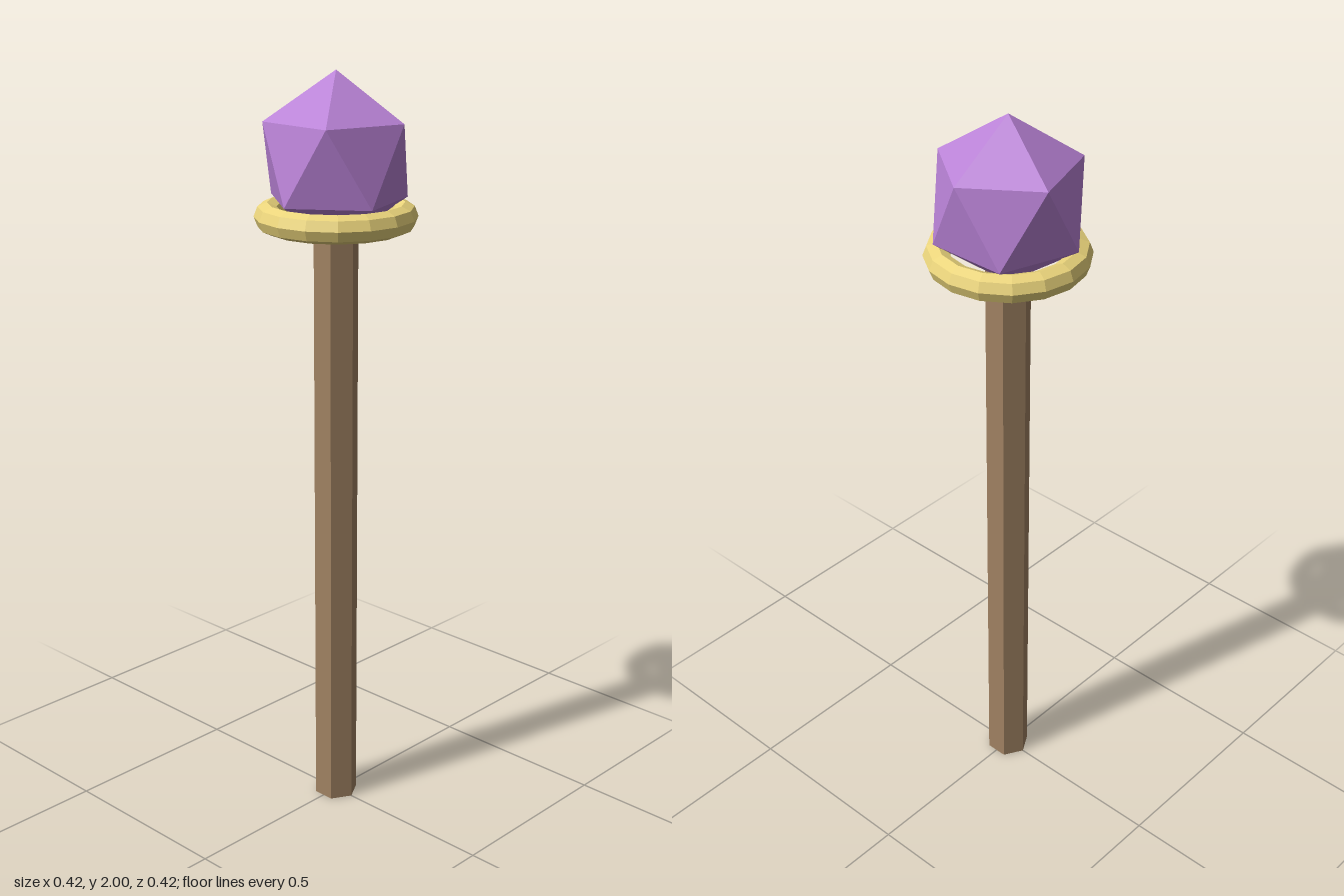
import * as THREE from 'three';
import { ConvexGeometry } from 'three/addons/geometries/ConvexGeometry.js';

function part(name, geometry, color, y) {
  const material = new THREE.MeshStandardMaterial({ color, flatShading: true });
  const mesh = new THREE.Mesh(geometry, material);
  mesh.name = name;
  mesh.position.y = y;
  return mesh;
}

// Icosahedron standing on a point: two poles and two staggered rings of five
function gemGeometry(radius, halfHeight) {
  const points = [new THREE.Vector3(0, halfHeight, 0), new THREE.Vector3(0, -halfHeight, 0)];
  const ringRadius = radius * 2 / Math.sqrt(5);
  const ringY = halfHeight / Math.sqrt(5);
  for (let i = 0; i < 5; i++) {
    const a = i * Math.PI * 2 / 5;
    const x = Math.cos(a) * ringRadius, z = Math.sin(a) * ringRadius;
    points.push(new THREE.Vector3(x, ringY, z), new THREE.Vector3(-x, -ringY, -z));
  }
  return new ConvexGeometry(points);
}

export function createModel() {
  const staff = new THREE.Group();
  staff.name = 'staff';

  // Six-sided wooden shaft, corners towards front and back
  staff.add(part('shaft', new THREE.CylinderGeometry(0.059, 0.059, 1.6, 6), 0xa08262, 0.8));

  // Faceted gold ring lying flat below the gem
  const ring = new THREE.TorusGeometry(0.174, 0.034, 8, 16);
  ring.rotateX(Math.PI / 2).scale(1, 1.06, 1);
  staff.add(part('ring', ring, 0xebd57c, 1.638));

  // Purple gem on top, slightly taller than wide
  staff.add(part('gem', gemGeometry(0.206, 0.22), 0xb982d6, 1.78));

  return staff;
}
